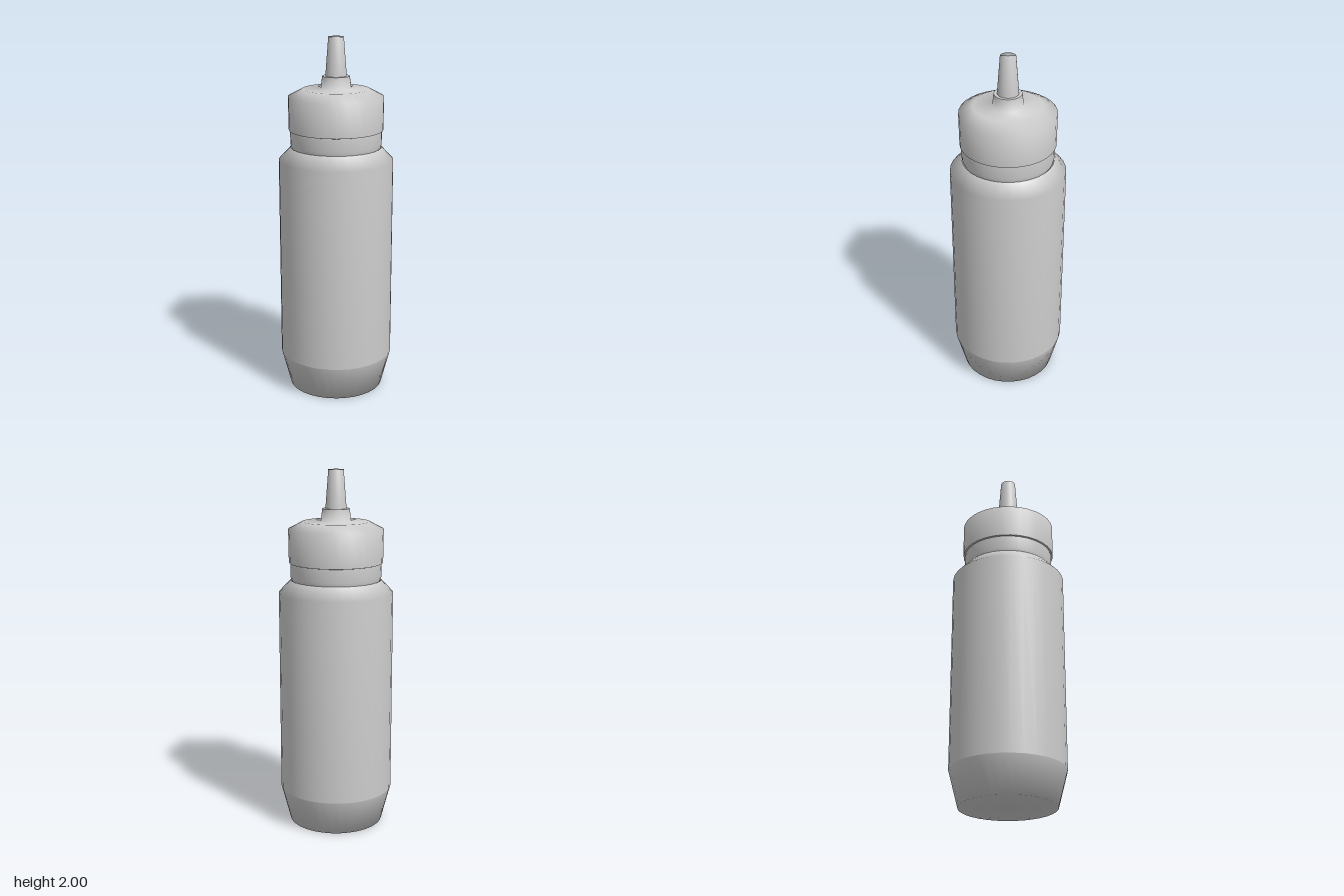
import * as THREE from 'three';

const SIDES = 32;

export function createModel() {
  const group = new THREE.Group();
  const material = new THREE.MeshStandardMaterial({ color: 0xcccccc, side: THREE.DoubleSide });

  // Turned part from [radius, height] pairs, listed bottom to top
  function turned(name, profile) {
    const points = profile.map(([r, y]) => new THREE.Vector2(r, y));
    const mesh = new THREE.Mesh(new THREE.LatheGeometry(points, SIDES), material);
    mesh.name = name;
    group.add(mesh);
  }

  // Tapered foot with closed underside
  turned('base', [[0, 0], [0.265, 0], [0.317, 0.2]]);

  // Straight bottle wall and sloped shoulder
  turned('body', [[0.317, 0.2], [0.317, 1.33], [0.25, 1.4]]);

  // Neck ring between shoulder and cap
  turned('neck', [[0.245, 1.395], [0.252, 1.42], [0.252, 1.48], [0.25, 1.5]]);

  // Screw cap: underside, then rounded skirt, top and nozzle collar
  turned('capUnderside', [[0.24, 1.49], [0.26, 1.495]].reverse());
  turned('cap', [[0.26, 1.495], [0.262, 1.68], [0.185, 1.72], [0.084, 1.722], [0.075, 1.79]]);

  // Ledge on the collar and tapered spout with closed tip
  turned('collarLedge', [[0.075, 1.79], [0.055, 1.79]]);
  turned('nozzle', [[0.058, 1.79], [0.042, 2], [0, 2]]);

  return group;
}
